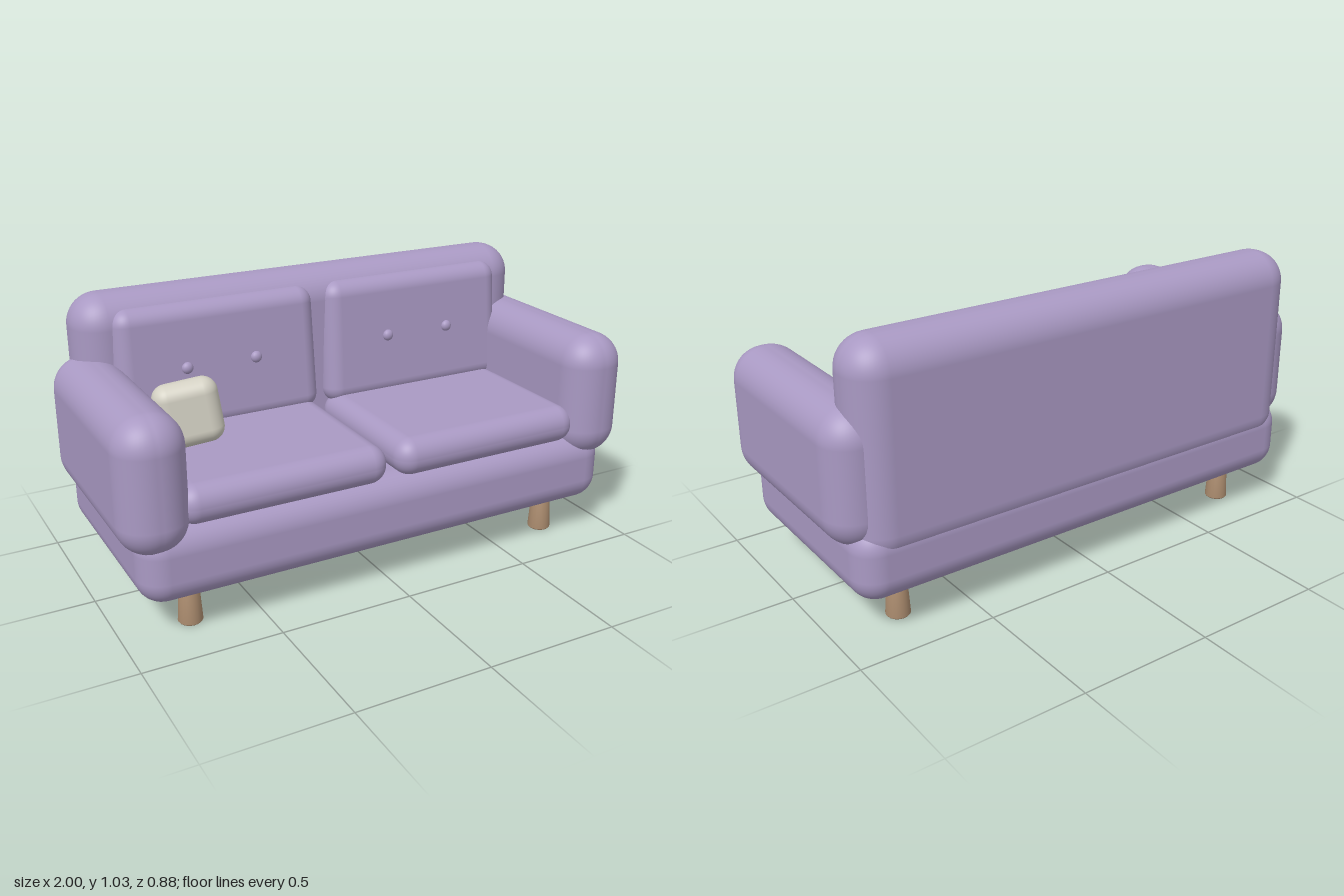
import * as THREE from 'three';
import { RoundedBoxGeometry } from 'three/addons/geometries/RoundedBoxGeometry.js';

const fabric = new THREE.MeshStandardMaterial({ name: 'lavender fabric', color: 0xa999c3 });
const wood = new THREE.MeshStandardMaterial({ name: 'light wood', color: 0xa98a6d });
const cream = new THREE.MeshStandardMaterial({ name: 'cream fabric', color: 0xd3d0c3 });

export function createModel() {
  const sofa = new THREE.Group();
  sofa.name = 'sofa';

  const add = (name, geometry, material, x, y, z) => {
    const mesh = new THREE.Mesh(geometry, material);
    mesh.name = name;
    mesh.position.set(x, y, z);
    sofa.add(mesh);
    return mesh;
  };

  // Rounded block given by its [min, max] extents
  const block = (name, [x0, x1], [y0, y1], [z0, z1], radius, material = fabric) =>
    add(name, new RoundedBoxGeometry(x1 - x0, y1 - y0, z1 - z0, 6, radius), material,
      (x0 + x1) / 2, (y0 + y1) / 2, (z0 + z1) / 2);

  // Frame
  block('base', [-0.943, 0.943], [0.137, 0.42], [-0.435, 0.41], 0.095);
  block('backrest', [-0.925, 0.925], [0.27, 1.03], [-0.442, -0.2], 0.115);

  // Leg outline, slightly wider at the foot
  const legGeometry = new THREE.LatheGeometry(
    [[0, 0], [0.039, 0], [0.044, 0.006], [0.034, 0.16], [0, 0.16]].map(p => new THREE.Vector2(...p)), 20);

  for (const side of [-1, 1]) {
    const label = side > 0 ? 'left' : 'right';
    const span = (a, b) => (side > 0 ? [a, b] : [-b, -a]);

    block(label + 'Arm', span(0.755, 1), [0.328, 0.81], [-0.405, 0.442], 0.115);
    block(label + 'SeatCushion', span(0.018, 0.8), [0.4, 0.542], [-0.24, 0.402], 0.068);

    // Back cushion leans back and narrows a little towards the top
    const cushion = block(label + 'BackCushion', span(0.022, 0.81), [0.505, 0.982], [-0.292, -0.152], 0.06);
    const pos = cushion.geometry.attributes.position;
    for (let i = 0; i < pos.count; i++) pos.setX(i, pos.getX(i) * (1 - 0.045 * pos.getY(i)));
    cushion.rotation.x = -0.08;

    // Buttons
    for (const x of [0.282, 0.552]) {
      const button = add(label + 'Button', new THREE.SphereGeometry(0.022, 16, 12), fabric, side * x, 0.755, -0.153);
      button.scale.z = 0.8;
    }

    // Legs
    add(label + 'FrontLeg', legGeometry, wood, side * 0.746, 0, 0.276);
    add(label + 'BackLeg', legGeometry, wood, side * 0.746, 0, -0.289);
  }

  // Loose pillow, turned and tipped
  const pillow = block('pillow', [-0.745, -0.515], [0.548, 0.782], [-0.01, 0.1], 0.053, cream);
  pillow.rotation.set(-0.08, -0.2, 0.12);

  return sofa;
}
